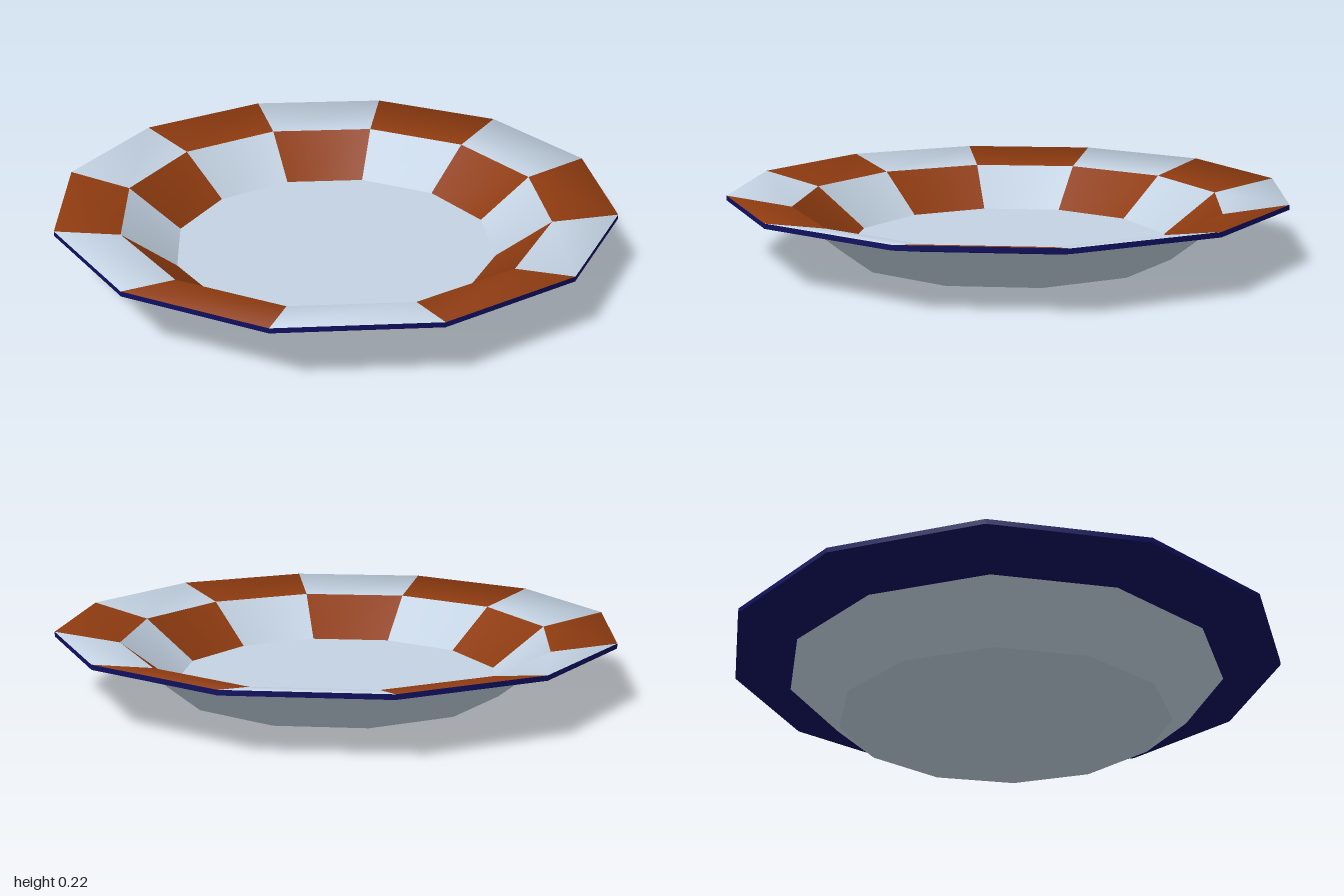
import * as THREE from 'three';

const SIDES = 12;

const mat = (name, color) => {
  const m = new THREE.MeshStandardMaterial({ color });
  m.name = name;
  return m;
};

// Ring of quads between two [radius, height] points; sectors cycle through the materials.
// Optional [radial, up] normals at either end soften the edge there.
function band(a, b, count, na, nb) {
  const face = [b[1] - a[1], a[0] - b[0]];
  const pos = [], nor = [], geo = new THREE.BufferGeometry();
  const put = ([r, y], n, k) => {
    const t = (k / SIDES) * Math.PI * 2, s = Math.sin(t), c = Math.cos(t);
    const v = new THREE.Vector3(n[0] * s, n[1], n[0] * c).normalize();
    pos.push(r * s, y, r * c);
    nor.push(v.x, v.y, v.z);
  };
  for (let k = 0; k < SIDES; k++) {
    const A = na || face, B = nb || face;
    put(a, A, k); put(a, A, k + 1); put(b, B, k + 1);
    put(a, A, k); put(b, B, k + 1); put(b, B, k);
    geo.addGroup(k * 6, 6, k % count);
  }
  geo.setAttribute('position', new THREE.Float32BufferAttribute(pos, 3));
  geo.setAttribute('normal', new THREE.Float32BufferAttribute(nor, 3));
  return geo;
}

export function createModel() {
  const plate = new THREE.Group();
  plate.name = 'plate';
  const glaze = mat('pale blue glaze', 0xc3d2e2);
  const rust = mat('rust brown', 0x8e3b10);
  const navy = mat('navy blue', 0x0f0f60);

  const add = (name, geo, material) => {
    const mesh = new THREE.Mesh(geo, material);
    mesh.name = name;
    plate.add(mesh);
    return mesh;
  };

  // Cross-section points
  const foot = [0.6, 0], shoulder = [0.79, 0.155], lip = [1, 0.205], rim = [1, 0.222];
  const innerRim = [0.777, 0.175], well = [0.587, 0.025];

  // Underside
  add('base', new THREE.CircleGeometry(foot[0], SIDES).rotateX(Math.PI / 2), glaze);
  add('outerWall', band(foot, shoulder, 1), [glaze]);
  add('rimUnderside', band(shoulder, lip, 1), [navy]);
  add('rimEdge', band(lip, rim, 1), [navy]);

  // Chequered inside: the two rings alternate in opposite order
  add('rimTop', band(rim, innerRim, 2, [0.5, 0.85]), [glaze, rust]);
  add('innerWall', band(innerRim, well, 2), [rust, glaze]);
  add('floor', new THREE.CircleGeometry(well[0], SIDES).rotateX(-Math.PI / 2), glaze)
    .position.y = well[1];

  return plate;
}
